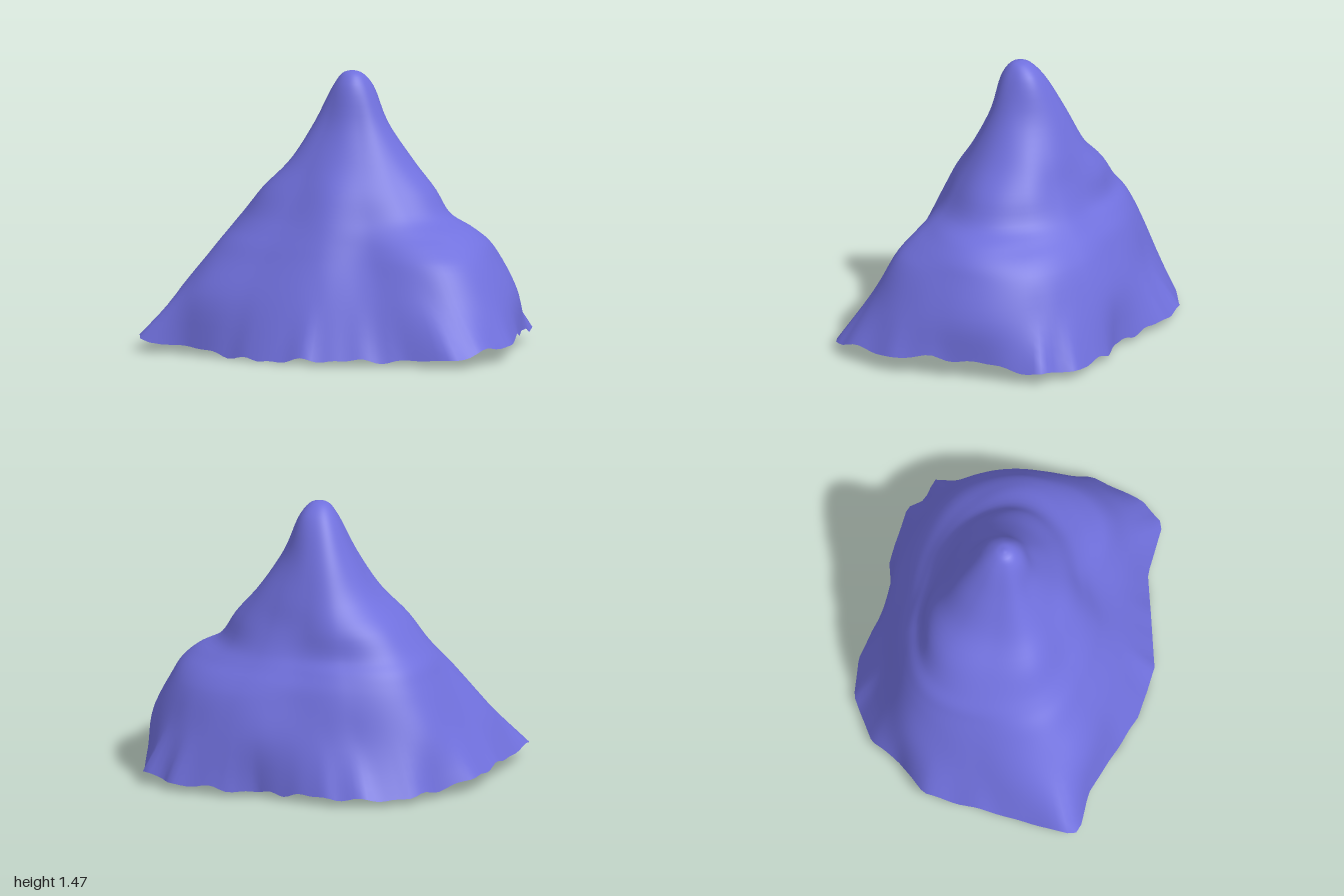
import * as THREE from 'three';

const COLUMNS = 160, ROWS = 48, CENTER_Z = -0.04;

// Cloth radius every 30 degrees (from +x towards +z) at each height
const RINGS = [
  [1.465, [.05, .05, .05, .05, .05, .05, .05, .05, .05, .05, .05, .05]],
  [1.40, [.10, .10, .10, .10, .10, .10, .10, .11, .12, .12, .12, .11]],
  [1.20, [.19, .18, .16, .16, .17, .20, .20, .22, .24, .22, .20, .19]],
  [1.00, [.32, .29, .26, .26, .28, .33, .32, .34, .34, .30, .30, .32]],
  [0.85, [.45, .39, .35, .36, .37, .47, .47, .49, .43, .35, .36, .42]],
  [0.72, [.54, .48, .41, .43, .45, .56, .58, .58, .47, .40, .43, .49]],
  [0.65, [.67, .57, .45, .465, .50, .62, .635, .64, .53, .455, .49, .58]],
  [0.58, [.75, .68, .49, .50, .55, .69, .675, .68, .575, .51, .56, .68]],
  [0.50, [.80, .78, .54, .54, .60, .76, .72, .72, .61, .55, .62, .75]],
  [0.30, [.90, .91, .67, .65, .72, .93, .83, .81, .68, .63, .71, .85]],
];

// Corners of the ragged hem, as x, y and z
const HEM = [
  [1, .09, .22], [.92, .08, .52], [.83, .05, .645], [.54, .03, .625], [.35, .03, .68], [.03, .03, .77],
  [-.25, .01, .74], [-.45, .02, .67], [-.74, .05, .575], [-.97, .07, .575], [-1, .08, .51],
  [-.975, .08, .26], [-.955, .09, -.08], [-.93, .08, -.28], [-.77, .05, -.45], [-.69, .04, -.61],
  [-.46, .04, -.755], [-.25, .05, -.775], [.16, .03, -.685], [.32, .04, -.73], [.64, .05, -.70],
  [.70, .05, -.62], [.815, .06, -.59], [.885, .10, -.25], [.95, .11, 0],
];

// Smooth periodic interpolation around a ring
function ringRadius(r, angle) {
  const n = r.length, u = angle / (2 * Math.PI) * n, i = Math.floor(u), t = u - i;
  const [a, b, c, d] = [-1, 0, 1, 2].map(k => r[(i + k + n) % n]);
  return b + 0.5 * t * (c - a + t * (2 * a - 5 * b + 4 * c - d + t * (3 * (b - c) + d - a)));
}

// Where a ray from the centre crosses the hem outline, with a slight ripple in height
function hemPoint(angle) {
  const dx = Math.cos(angle), dz = Math.sin(angle);
  const side = p => dx * (p.z - CENTER_Z) - dz * p.x;
  const ripple = 0.008 * Math.sin(angle * 17) + 0.006 * Math.sin(angle * 29);
  for (let i = 0; i < HEM.length; i++) {
    const p = new THREE.Vector3(...HEM[i]);
    const q = new THREE.Vector3(...HEM[(i + 1) % HEM.length]);
    const s = side(p), e = side(q);
    if (s > 0 || e <= 0) continue;
    p.lerp(q, s / (s - e));
    p.y = Math.max(0, p.y + ripple);
    return p;
  }
}

function clothGeometry() {
  const positions = [], index = [];
  for (let i = 0; i < COLUMNS; i++) {
    const a = i / COLUMNS * 2 * Math.PI;
    const at = (r, y) => new THREE.Vector3(r * Math.cos(a), y, CENTER_Z + r * Math.sin(a));
    // One strand of cloth from the tip down to the hem
    const strand = new THREE.CatmullRomCurve3([
      at(0, 1.48),
      ...RINGS.map(([y, r]) => at(ringRadius(r, a), y)),
      hemPoint(a),
    ]);
    for (let j = 0; j <= ROWS; j++) positions.push(...strand.getPoint(j / ROWS).toArray());
  }
  const id = (i, j) => (i % COLUMNS) * (ROWS + 1) + j;
  for (let i = 0; i < COLUMNS; i++) {
    for (let j = 0; j < ROWS; j++) {
      if (j > 0) index.push(id(i, j), id(i + 1, j), id(i, j + 1));
      index.push(id(i + 1, j), id(i + 1, j + 1), id(i, j + 1));
    }
  }
  const geometry = new THREE.BufferGeometry();
  geometry.setAttribute('position', new THREE.Float32BufferAttribute(positions, 3));
  geometry.setIndex(index);
  geometry.computeVertexNormals();
  // All strands share one upright normal at the tip
  for (let i = 0; i < COLUMNS; i++) geometry.attributes.normal.setXYZ(id(i, 0), 0, 1, 0);
  return geometry;
}

export function createModel() {
  const group = new THREE.Group();
  group.name = 'drapedCloth';
  const violet = new THREE.MeshStandardMaterial({ color: 0x7070dd, side: THREE.DoubleSide });
  violet.name = 'violet cloth';
  const cloth = new THREE.Mesh(clothGeometry(), violet);
  cloth.name = 'cloth';
  group.add(cloth);
  return group;
}
